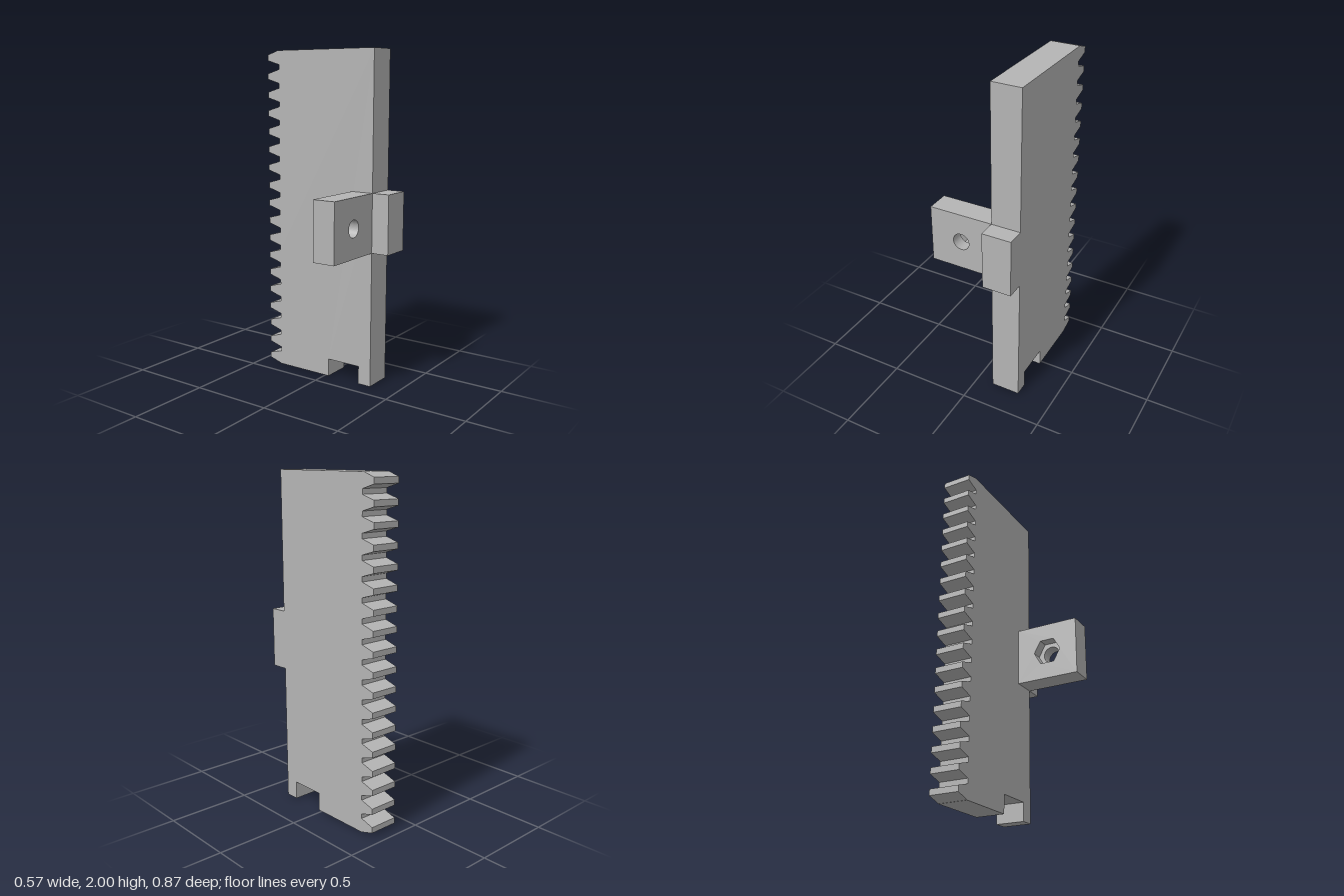
import * as THREE from 'three';

const material = new THREE.MeshStandardMaterial({ color: 0xb4b4b4 });
material.name = 'plain grey';

const polygon = (points) => new THREE.Shape(points.map(([x, y]) => new THREE.Vector2(x, y)));

function extrude(shape, depth, name) {
  const geometry = new THREE.ExtrudeGeometry(shape, { depth, bevelEnabled: false, curveSegments: 24 });
  const mesh = new THREE.Mesh(geometry, material);
  mesh.name = name;
  return mesh;
}

// Upright plate drawn from the side: u runs towards the back, v is up
function createRack() {
  const teeth = 18, first = 0.043, pitch = (2 - 2 * first) / (teeth - 1);
  const root = 0.35, tip = 0.435, rootHalf = 0.042, tipHalf = 0.017;
  const outline = [
    [-0.327, 0], [-0.243, 0], [-0.243, 0.11], [-0.024, 0.11], [-0.024, 0], [root, 0],
  ];
  // Row of trapezoid teeth along the back edge
  for (let i = 0; i < teeth; i++) {
    const y = first + i * pitch;
    outline.push([root, y - rootHalf], [tip, y - tipHalf], [tip, y + tipHalf]);
    if (i < teeth - 1) outline.push([root, y + rootHalf]);
  }
  // Top edge, then the raised block on the front edge
  outline.push([0.36, 2], [-0.327, 2], [-0.327, 1.178], [-0.435, 1.178], [-0.435, 0.824], [-0.327, 0.824]);
  const rack = extrude(polygon(outline), 0.178, 'toothedRack');
  rack.rotation.y = Math.PI / 2;
  rack.position.x = 0.107;
  return rack;
}

// Side lug in two layers: hexagonal nut pocket behind, round bolt hole in front
function createLug() {
  const lug = new THREE.Group();
  lug.name = 'mountingLug';
  const back = 0.185, floor = 0.25, front = 0.327;
  const cx = -0.09, cy = 1.0;
  const plate = () => polygon([[-0.285, 0.824], [0.107, 0.824], [0.107, 1.178], [-0.285, 1.178]]);

  const pocket = plate();
  const hex = [];
  for (let i = 0; i < 6; i++) {
    const a = -i * Math.PI / 3;
    hex.push(new THREE.Vector2(cx + 0.087 * Math.cos(a), cy + 0.087 * Math.sin(a)));
  }
  pocket.holes.push(new THREE.Path(hex));
  const rear = extrude(pocket, floor - back, 'nutPocketLayer');
  rear.position.z = back;

  const bolt = plate();
  bolt.holes.push(new THREE.Path().absarc(cx, cy, 0.051, 0, Math.PI * 2, true));
  const face = extrude(bolt, front - floor, 'boltHoleLayer');
  face.position.z = floor;

  lug.add(rear, face);
  return lug;
}

export function createModel() {
  const model = new THREE.Group();
  model.name = 'gearRackWithLug';
  model.add(createRack(), createLug());
  return model;
}
